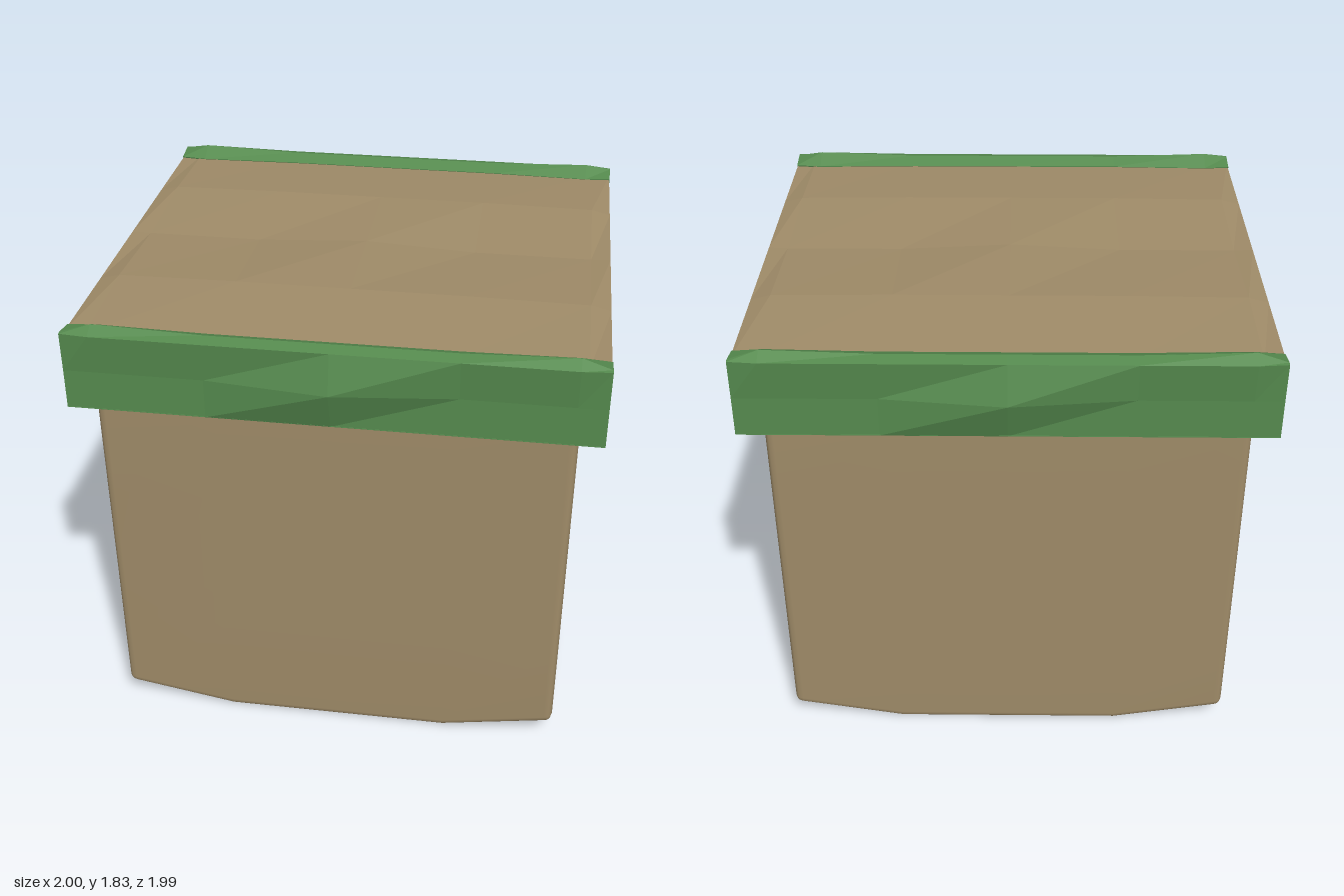
import * as THREE from 'three';
import { mergeVertices } from 'three/addons/utils/BufferGeometryUtils.js';

const tan = new THREE.MeshStandardMaterial({ color: 0x9f8b68 });
tan.name = 'cardboard tan';
const green = new THREE.MeshStandardMaterial({ color: 0x558a4e });
green.name = 'trim green';

function part(name, geometry, material) {
  const mesh = new THREE.Mesh(geometry, material);
  mesh.name = name;
  return mesh;
}

// Faceted normals
function faceted(geometry) {
  const g = geometry.index ? geometry.toNonIndexed() : geometry;
  g.computeVertexNormals();
  return g;
}

// Moves every vertex by a rule
function warp(geometry, rule) {
  const pos = geometry.attributes.position;
  const v = new THREE.Vector3();
  for (let i = 0; i < pos.count; i++) {
    rule(v.fromBufferAttribute(pos, i));
    pos.setXYZ(i, v.x, v.y, v.z);
  }
  return geometry;
}

// Box with softly rounded edges and raised bottom corners
function bodyGeometry() {
  const half = 0.907, r = 0.035, inner = half - r, height = 1.55;
  const steps = [0, 0.45, inner, inner + r * 0.6, half];
  const place = (i) => Math.sign(i) * steps[Math.abs(Math.round(i))];
  let g = new THREE.BoxGeometry(8, 8, 8, 8, 8, 8);
  const core = new THREE.Vector3();
  const ramp = (t) => THREE.MathUtils.clamp((Math.abs(t) - 0.45) / (inner - 0.45), 0, 1);
  warp(g, (v) => {
    const low = v.y < -1.5;
    v.set(place(v.x), place(v.y), place(v.z));
    core.copy(v).clampScalar(-inner, inner);
    v.sub(core).setLength(r).add(core);
    v.y = v.y < 0 ? v.y + half : v.y + height - half;
    if (low) v.y += 0.075 * ramp(v.x) * ramp(v.z);
  });
  g.deleteAttribute('normal');
  g.deleteAttribute('uv');
  g = mergeVertices(g);
  g.computeVertexNormals();
  return g;
}

// Lid slab with a gently uneven top
function slabGeometry() {
  const xs = [0, 0.45, 0.92, 0.998];
  const zs = [0, 0.45, 0.89];
  const g = new THREE.BoxGeometry(6, 1, 4, 6, 1, 4);
  warp(g, (v) => {
    const i = Math.abs(Math.round(v.x)), k = Math.abs(Math.round(v.z));
    v.x = Math.sign(v.x) * xs[i];
    v.z = Math.sign(v.z) * zs[k];
    if (v.y < 0) v.y = 1.493;
    else {
      v.y = 1.785;
      if (k === 1 && i < 3) v.y = i === 2 ? 1.805 : 1.81;
      if (k === 0 && i < 3) v.y = i === 0 ? 1.805 : 1.782;
    }
  });
  return faceted(g);
}

// Folded trim strip along the front edge, bulging at its middle
function trimGeometry() {
  const xs = [-1, -0.89, -0.47, 0, 0.47, 0.89, 1];
  const section = (x) => {
    const a = Math.abs(x), end = a === 1;
    const ridge = end ? [0.93, 1.805] : [0.905, a < 0.8 ? 1.816 : 1.83];
    return [
      [a === 0 ? 0.997 : 0.945, 1.65],
      [end ? 0.945 : 0.955, 1.803],
      ridge,
      [a === 0.89 ? 0.832 : 0.845, 1.79],
      [0.885, 1.65],
      [0.875, 1.493],
      [0.948, 1.493],
    ];
  };
  const n = section(0).length, points = [], index = [];
  xs.forEach((x) => section(x).forEach(([z, y]) => points.push(x, y, z)));
  const last = (xs.length - 1) * n;
  for (let i = 0; i < xs.length - 1; i++) {
    for (let j = 0; j < n; j++) {
      const a = i * n + j, b = i * n + (j + 1) % n;
      index.push(a, a + n, b + n, a, b + n, b);
    }
  }
  for (let j = 1; j < n - 1; j++) {
    index.push(0, j, j + 1, last, last + j + 1, last + j);
  }
  const g = new THREE.BufferGeometry();
  g.setAttribute('position', new THREE.Float32BufferAttribute(points, 3));
  g.setIndex(index);
  return faceted(g);
}

// Shallow tapered underside of the lid
function undersideGeometry() {
  const g = new THREE.CylinderGeometry(Math.SQRT2, 0.91 * Math.SQRT2, 0.022, 4);
  g.rotateY(Math.PI / 4);
  g.scale(1, 1, 0.95);
  g.translate(0, 1.486, 0);
  // keep the lower edge outside the body walls
  warp(g, (v) => {
    if (v.y < 1.486 && Math.abs(v.z) > 0.1) v.z = Math.sign(v.z) * 0.912;
  });
  return faceted(g);
}

export function createModel() {
  const model = new THREE.Group();
  model.name = 'lidded box';
  model.add(part('body', bodyGeometry(), tan));

  const lid = new THREE.Group();
  lid.name = 'lid';
  lid.add(part('lidSlab', slabGeometry(), tan));
  lid.add(part('lidUnderside', undersideGeometry(), green));
  const trim = trimGeometry();
  const front = part('frontTrim', trim, green);
  const back = part('backTrim', trim, green);
  back.rotation.y = Math.PI;
  lid.add(front, back);
  model.add(lid);
  return model;
}
